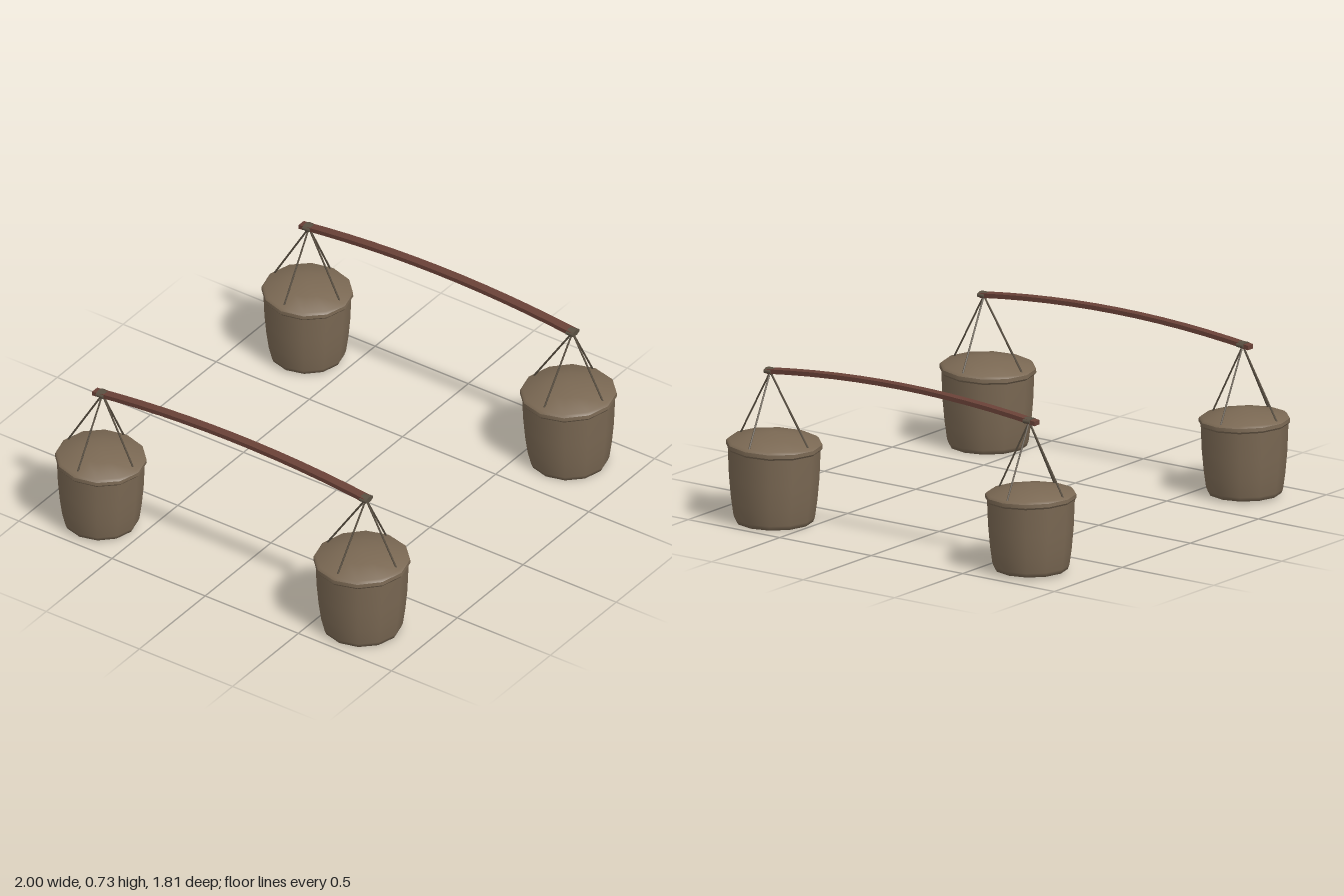
import * as THREE from 'three';
import { toCreasedNormals } from 'three/addons/utils/BufferGeometryUtils.js';

const mat = (name, color) => Object.assign(new THREE.MeshStandardMaterial({ color }), { name });

export function createModel() {
  const wicker = mat('wicker', 0x7a6853);
  const wood = mat('red brown wood', 0x694137);
  const cord = mat('dark cord', 0x5a5042);

  const add = (parent, name, geometry, material) => {
    const mesh = new THREE.Mesh(geometry, material);
    mesh.name = name;
    parent.add(mesh);
    return mesh;
  };
  const lathe = (points) => new THREE.LatheGeometry(points.map(([r, y]) => new THREE.Vector2(r, y)), 12);

  // Basket body and shallow conical lid, twelve-sided
  const bodyGeo = lathe([[0, 0], [0.172, 0], [0.18, 0.02], [0.191, 0.1], [0.2, 0.2], [0.206, 0.348]]);
  const lidGeo = toCreasedNormals(lathe([
    [0, 0], [0.207, 0], [0.214, 0.009], [0.213, 0.026], [0.202, 0.036], [0.1, 0.056], [0, 0.075],
  ]), 0.7);

  function makeBasket(scale, tilt) {
    const basket = new THREE.Group();
    basket.name = 'basket';
    add(basket, 'basketBody', bodyGeo, wicker);
    const lid = add(basket, 'basketLid', lidGeo, wicker);
    lid.position.y = 0.33;
    lid.rotation.x = tilt;
    basket.scale.setScalar(scale);
    return basket;
  }

  // Thin cord between two points
  function addCord(parent, a, b) {
    const dir = b.clone().sub(a);
    const rope = add(parent, 'hangingCord', new THREE.CylinderGeometry(0.0043, 0.0043, dir.length(), 6), cord);
    rope.position.copy(a).lerp(b, 0.5);
    rope.quaternion.setFromUnitVectors(new THREE.Vector3(0, 1, 0), dir.normalize());
  }

  // Flat carrying pole, bowed upward and slightly skewed
  const poleHeight = (z) => 0.723 - 0.087 * z * z;
  const poleX = (z) => 0.0065 * z;
  const poleGeo = new THREE.BoxGeometry(0.041, 0.02, 1.46, 1, 1, 12);
  const p = poleGeo.attributes.position;
  for (let i = 0; i < p.count; i++) {
    const z = p.getZ(i) - 0.012;
    const width = 1 + 0.08 * z;
    p.setXYZ(i, p.getX(i) * width + poleX(z), p.getY(i) + poleHeight(z), z);
  }
  poleGeo.computeVertexNormals();

  // Flattened eight-sided wrap around the pole
  const wrapGeo = new THREE.CylinderGeometry(0.029, 0.029, 0.036, 8);
  wrapGeo.rotateY(Math.PI / 8).rotateX(Math.PI / 2).scale(1, 0.5, 1);

  function makeYoke() {
    const yoke = new THREE.Group();
    yoke.name = 'shoulderYoke';
    add(yoke, 'carryingPole', poleGeo, wood);

    const ends = [
      { x: 0, y: 0, z: 0.69, knotZ: 0.708, scale: 1, tilt: -0.03 },
      { x: -0.01, y: 0.01, z: -0.705, knotZ: -0.7, scale: 0.945, tilt: 0.03 },
    ];
    for (const e of ends) {
      const basket = makeBasket(e.scale, e.tilt);
      basket.position.set(e.x, e.y, e.z);
      yoke.add(basket);

      const knotX = poleX(e.knotZ), knotY = poleHeight(e.knotZ);
      add(yoke, 'cordWrap', wrapGeo, cord).position.set(knotX, knotY, e.knotZ);

      // Four cords from the wrap down to the lid
      const top = new THREE.Vector3(knotX, knotY - 0.005, e.knotZ);
      const r = 0.186 * e.scale;
      for (let i = 0; i < 4; i++) {
        const dx = Math.sin(i * Math.PI / 2) * r;
        const dz = Math.cos(i * Math.PI / 2) * r;
        addCord(yoke, top, new THREE.Vector3(
          e.x + dx + 0.007, e.y + 0.364 * e.scale - Math.sin(e.tilt) * dz, e.z + dz - 0.006));
      }
    }
    return yoke;
  }

  const model = new THREE.Group();
  model.name = 'carryingYokes';
  for (const x of [-0.785, 0.785]) {
    const yoke = makeYoke();
    yoke.position.x = x;
    model.add(yoke);
  }
  return model;
}
